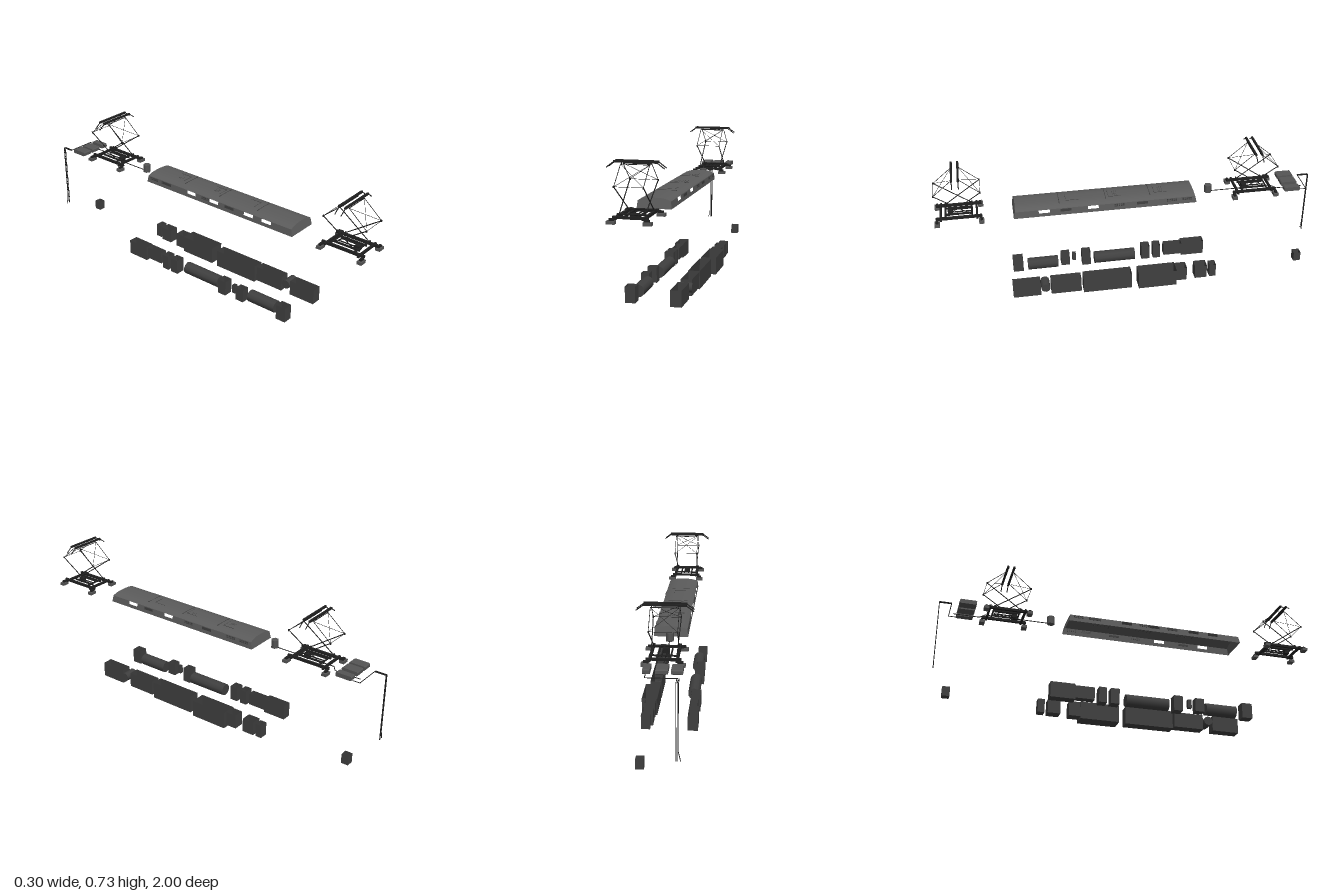
import * as THREE from 'three';

const mat = (name, color, side = THREE.FrontSide) => {
  const m = new THREE.MeshStandardMaterial({ color, side });
  m.name = name;
  return m;
};

export function createModel() {
  const root = new THREE.Group();
  const roofGrey = mat('roofGrey', 0x5c5c5c, THREE.DoubleSide);
  const boxDark = mat('equipmentDark', 0x404040, THREE.DoubleSide);
  const frameBlack = mat('frameBlack', 0x202020);
  const fittingGrey = mat('fittingGrey', 0x555555);

  const add = (parent, name, geo, m, x = 0, y = 0, z = 0) => {
    const mesh = new THREE.Mesh(geo, m);
    mesh.name = name;
    mesh.position.set(x, y, z);
    parent.add(mesh);
    return mesh;
  };
  // box given by its limits
  const box = (parent, name, m, x0, x1, y0, y1, z0, z1, openTop = false) => {
    const g = new THREE.BoxGeometry(x1 - x0, y1 - y0, z1 - z0);
    if (openTop) {
      const idx = Array.from(g.index.array);
      idx.splice(12, 6);
      g.setIndex(idx);
      g.clearGroups();
    }
    return add(parent, name, g, m, (x0 + x1) / 2, (y0 + y1) / 2, (z0 + z1) / 2);
  };
  // straight rod between two points
  const rod = (parent, name, m, a, b, r, sides = 6) => {
    const p = new THREE.Vector3(...a), q = new THREE.Vector3(...b), d = q.clone().sub(p);
    const mesh = add(parent, name, new THREE.CylinderGeometry(r, r, d.length(), sides), m);
    mesh.position.copy(p).add(q).multiplyScalar(0.5);
    mesh.quaternion.setFromUnitVectors(new THREE.Vector3(0, 1, 0), d.normalize());
    return mesh;
  };
  const path = (parent, name, m, pts, r) => {
    for (let i = 1; i < pts.length; i++) rod(parent, name, m, pts[i - 1], pts[i], r, 5);
  };

  // ---- Roof fairing: open underneath, with window openings in the sides
  const roof = new THREE.Group();
  roof.name = 'roofFairing';
  root.add(roof);
  const Z0 = -0.34, Z1 = 0.605, CX = -0.01, HW = 0.084, YB = 0.467, YS = 0.503;
  const crown = new THREE.PlaneGeometry(2, 1, 12, 1).rotateX(-Math.PI / 2);
  const cp = crown.attributes.position;
  const crownY = (u) => YS + 0.014 * (1 - Math.pow(Math.abs(u), 3));
  for (let i = 0; i < cp.count; i++) {
    const u = cp.getX(i), front = cp.getZ(i) > 0;
    const y = crownY(u), cut = (y - YB) * 0.2;
    cp.setXYZ(i, CX + u * (HW - 0.004), y, front ? Z1 - cut : Z0 + cut);
  }
  crown.computeVertexNormals();
  add(roof, 'roofTop', crown, roofGrey);

  const windows = { 1: [0.45, 0.2], [-1]: [0.45, 0.34, 0.12, -0.03] };
  for (const s of [1, -1]) {
    const t = (YS - YB) * 0.2;
    const shape = new THREE.Shape([[Z0, YB], [Z1, YB], [Z1 - t, YS], [Z0 + t, YS]]
      .map(([a, b]) => new THREE.Vector2(a, b)));
    for (const z of windows[s]) {
      shape.holes.push(new THREE.Path([[-1, 0.485], [-1, 0.502], [1, 0.502], [1, 0.485]]
        .map(([a, b]) => new THREE.Vector2(z + a * 0.028, b))));
    }
    const g = new THREE.ShapeGeometry(shape);
    const p = g.attributes.position;
    for (let i = 0; i < p.count; i++) {
      const z = p.getX(i), y = p.getY(i);
      p.setXYZ(i, CX + s * (HW - 0.004 * (y - YB) / (YS - YB)), y, z);
    }
    // (z, y) drawing mapped to the side plane: reverse the order on the +x side
    if (s > 0) {
      const idx = Array.from(g.index.array);
      g.setIndex(idx.reverse());
    }
    g.computeVertexNormals();
    add(roof, 'roofSide', g, roofGrey);

    // grilles
    const x = CX + s * (HW - 0.0018);
    const solid = s > 0 ? [0.34, -0.055] : [0.22, -0.2];
    for (const z of solid) box(roof, 'sideGrille', boxDark, x - 0.0015, x + 0.0015, 0.486, 0.5, z - 0.028, z + 0.028);
    for (const z of [0.065, -0.21, -0.29]) {
      for (let i = -2; i <= 2; i++) for (const y of [0.489, 0.497]) {
        box(roof, 'sideVent', boxDark, x - 0.0015, x + 0.0015, y - 0.0025, y + 0.0025, z + i * 0.011 - 0.0035, z + i * 0.011 + 0.0035);
      }
    }
  }
  // sloping end walls
  for (const front of [true, false]) {
    const pts = [new THREE.Vector2(CX - HW, YB), new THREE.Vector2(CX + HW, YB)];
    for (let i = 0; i <= 12; i++) {
      const u = 1 - i / 6;
      pts.push(new THREE.Vector2(CX + u * (HW - 0.004), crownY(u)));
    }
    const g = new THREE.ShapeGeometry(new THREE.Shape(pts));
    const p = g.attributes.position;
    for (let i = 0; i < p.count; i++) {
      const cut = (p.getY(i) - YB) * 0.2;
      p.setZ(i, front ? Z1 - cut : Z0 + cut);
    }
    if (!front) g.setIndex(Array.from(g.index.array).reverse());
    g.computeVertexNormals();
    add(roof, 'roofEnd', g, roofGrey);
  }
  // panel seams, hatch edges and vent dots
  for (const z of [-0.1, 0.13, 0.37]) box(roof, 'roofSeam', boxDark, CX - 0.05, CX + 0.05, 0.515, 0.5175, z - 0.0015, z + 0.0015);
  for (const z of [-0.16, 0.08, 0.3]) {
    box(roof, 'hatchEdge', boxDark, -0.04, 0.02, 0.516, 0.5176, z + 0.034, z + 0.0355);
    box(roof, 'hatchEdge', boxDark, 0.0195, 0.021, 0.516, 0.5176, z - 0.03, z + 0.035);
    if (z < 0.2) for (let i = -2; i <= 2; i++) for (let j = -1; j <= 1; j++) {
      box(roof, 'roofVent', boxDark, -0.012 + i * 0.009, -0.009 + i * 0.009, 0.516, 0.5178, z + j * 0.01, z + j * 0.01 + 0.003);
    }
  }

  // ---- Current collectors
  const collector = (zc) => {
    const g = new THREE.Group();
    g.name = 'pantograph';
    g.position.set(CX, 0, zc);
    root.add(g);
    for (const sx of [-1, 1]) {
      for (const sz of [-1, 1]) {
        box(g, 'insulatorFoot', fittingGrey, sx * 0.081 - 0.019, sx * 0.081 + 0.019, 0.467, 0.482, sz * 0.11 - 0.013, sz * 0.11 + 0.013);
        box(g, 'footBracket', frameBlack, sx * 0.078 - 0.012, sx * 0.078 + 0.012, 0.482, 0.492, sz * 0.11 - 0.006, sz * 0.11 + 0.006);
        // crossing lower arms and upper arms
        rod(g, 'lowerArm', frameBlack, [sx * 0.058, 0.503, sz * 0.066], [sx * 0.065, 0.628, -sz * 0.115], 0.0024);
        rod(g, 'upperArm', frameBlack, [sx * 0.065, 0.628, sz * 0.115], [sx * 0.065, 0.711, sz * 0.017], 0.0015);
        rod(g, 'diagonalBrace', frameBlack, [sx * 0.065, 0.628, sz * 0.115], [-sx * 0.065, 0.711, sz * 0.017], 0.0009);
        box(g, 'kneeJoint', frameBlack, sx * 0.065 - 0.003, sx * 0.065 + 0.003, 0.623, 0.632, sz * 0.115 - 0.003, sz * 0.115 + 0.003);
      }
      box(g, 'baseSideBeam', frameBlack, sx * 0.062 - 0.006, sx * 0.062 + 0.006, 0.487, 0.5, -0.115, 0.115);
      box(g, 'baseInnerBeam', frameBlack, sx * 0.03 - 0.003, sx * 0.03 + 0.003, 0.491, 0.5, -0.07, 0.07);
      rod(g, 'liftSpring', frameBlack, [sx * 0.012, 0.497, -0.06], [sx * 0.012, 0.497, 0.04], 0.0035);
    }
    for (const sz of [-1, 1]) {
      box(g, 'baseCrossBeam', frameBlack, -0.08, 0.08, 0.487, 0.499, sz * 0.09 - 0.005, sz * 0.09 + 0.005);
      rod(g, 'armShaft', frameBlack, [-0.068, 0.503, sz * 0.066], [0.068, 0.503, sz * 0.066], 0.0045);
      rod(g, 'kneeBar', frameBlack, [-0.065, 0.628, sz * 0.115], [0.065, 0.628, sz * 0.115], 0.001);
      rod(g, 'headBar', frameBlack, [-0.065, 0.711, sz * 0.017], [0.065, 0.711, sz * 0.017], 0.0018);
      // contact strip with drooping horns
      box(g, 'contactStrip', frameBlack, -0.098, 0.098, 0.718, 0.727, sz * 0.016 - 0.005, sz * 0.016 + 0.005);
      for (const sx of [-1, 1]) {
        rod(g, 'stripHorn', frameBlack, [sx * 0.093, 0.7235, sz * 0.016], [sx * 0.13, 0.696, sz * 0.016], 0.0025);
        rod(g, 'stripPost', frameBlack, [sx * 0.06, 0.708, sz * 0.017], [sx * 0.06, 0.72, sz * 0.016], 0.002);
      }
    }
    box(g, 'liftCylinder', frameBlack, -0.014, 0.014, 0.478, 0.503, 0.03, 0.055);
  };
  collector(0.875);
  collector(-0.655);

  // ---- Rear roof fittings: arrester, rounded cabinets, cables
  add(root, 'arrester', new THREE.CylinderGeometry(0.02, 0.02, 0.042, 6).toNonIndexed(), fittingGrey, -0.012, 0.493, -0.42);
  for (const [x0, x1] of [[-0.107, -0.056], [-0.042, 0.012], [0.036, 0.069]]) {
    const s = new THREE.Shape([[-0.9, 0.481], [-0.895, 0.478], [-0.82, 0.478], [-0.815, 0.482], [-0.815, 0.496], [-0.82, 0.5], [-0.895, 0.5], [-0.9, 0.496]]
      .map(([z, y]) => new THREE.Vector2(-z, y)));
    const g = new THREE.ExtrudeGeometry(s, { depth: x1 - x0, bevelEnabled: false }).rotateY(Math.PI / 2);
    add(root, 'roofCabinet', g, fittingGrey, x0);
  }
  path(root, 'roofCable', frameBlack, [[-0.012, 0.476, -0.42], [-0.012, 0.476, -0.76], [0.02, 0.476, -0.785], [0.02, 0.476, -0.92]], 0.0022);
  path(root, 'cabinetCable', frameBlack, [[0.055, 0.477, -0.9], [0.055, 0.477, -0.938], [-0.088, 0.477, -0.938]], 0.002);
  for (const [x, end] of [[-0.095, -0.105], [-0.09, -0.09], [-0.084, -0.084]]) {
    path(root, 'downCable', frameBlack, [[x, 0.476, -0.938], [x, 0.476, -0.998], [x, 0.165, -0.998], [end, 0.12, -0.998]], 0.0018);
  }

  // ---- Underfloor equipment, open-topped boxes [x0, x1, y0, y1, z0, z1]
  const boxes = [
    [0.085, 0.13, 0.02, 0.092, -0.45, -0.415],
    [0.075, 0.13, 0.018, 0.092, -0.4, -0.335],
    [0.075, 0.13, 0.015, 0.092, -0.29, -0.23],
    [0.07, 0.15, 0.003, 0.094, -0.23, -0.025],
    [0.07, 0.13, 0.0, 0.094, 0.01, 0.268],
    [0.075, 0.13, 0.013, 0.094, 0.28, 0.44],
    [0.075, 0.13, 0.013, 0.094, 0.495, 0.64],
    [-0.15, -0.1, 0.013, 0.093, -0.435, -0.31],
    [-0.14, -0.1, 0.025, 0.09, -0.31, -0.21],
    [-0.15, -0.1, 0.013, 0.093, -0.19, -0.15],
    [-0.15, -0.1, 0.013, 0.093, -0.13, -0.085],
    [-0.15, -0.1, 0.013, 0.093, 0.2, 0.247],
    [-0.135, -0.115, 0.04, 0.085, 0.28, 0.3],
    [-0.15, -0.107, 0.02, 0.09, 0.315, 0.362],
    [-0.15, -0.1, 0.013, 0.093, 0.57, 0.625],
    [0.062, 0.1, 0.043, 0.093, -0.935, -0.897],
  ];
  for (const b of boxes) box(root, 'underfloorBox', boxDark, ...b, true);
  // air tanks and the cross-mounted drum
  rod(root, 'airTank', boxDark, [-0.109, 0.051, -0.045], [-0.109, 0.051, 0.18], 0.032, 10);
  rod(root, 'airTank', boxDark, [-0.109, 0.051, 0.38], [-0.109, 0.051, 0.545], 0.032, 10);
  rod(root, 'crossDrum', boxDark, [0.072, 0.064, 0.47], [0.143, 0.064, 0.47], 0.024, 12);

  return root;
}
